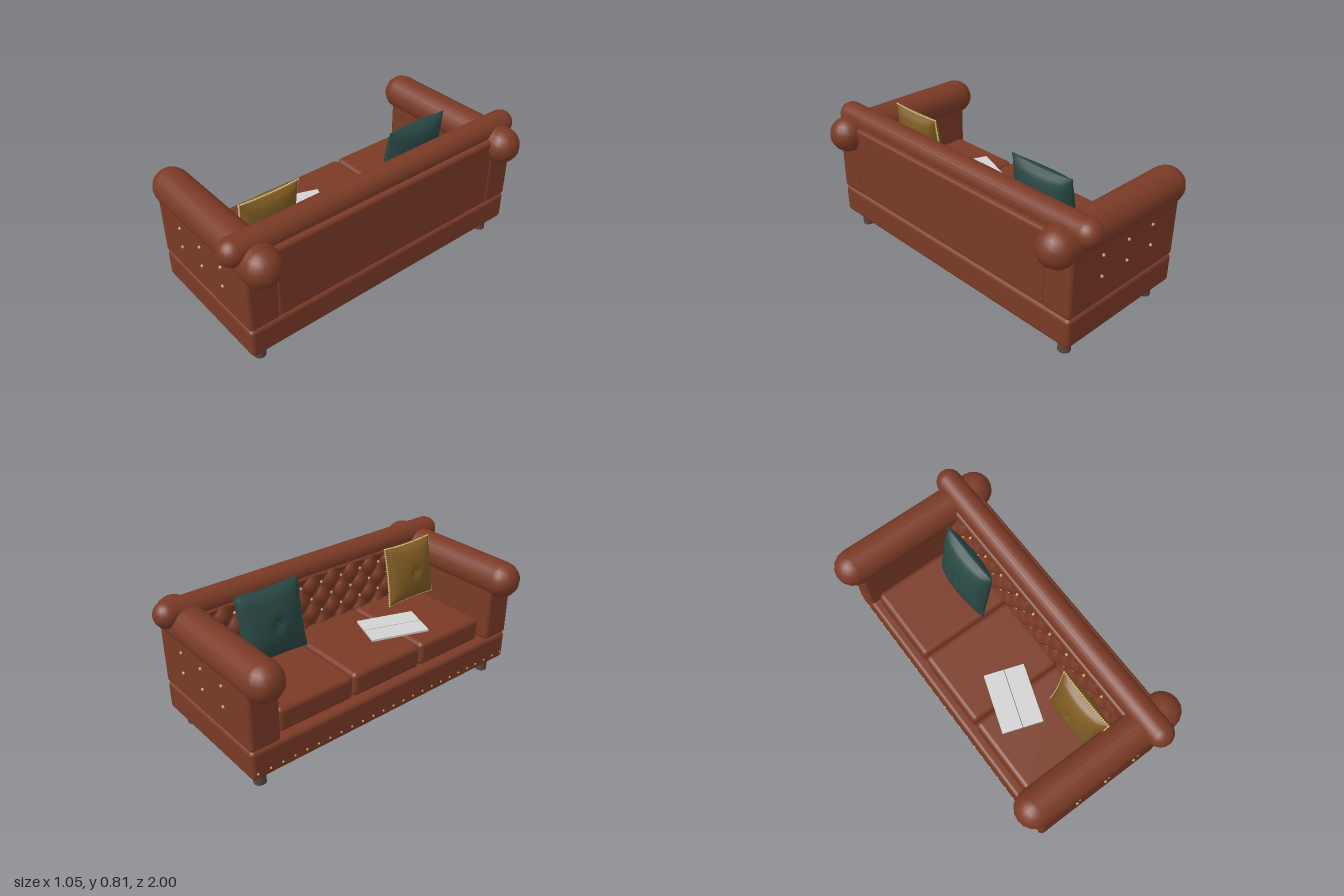
import * as THREE from 'three';
import { RoundedBoxGeometry } from 'three/addons/geometries/RoundedBoxGeometry.js';

const mat = (name, color, extra = {}) => {
  const m = new THREE.MeshStandardMaterial({ color, ...extra });
  m.name = name;
  return m;
};

export function createModel() {
  const leather = mat('chestnut leather', 0x7a3a26);
  const wood = mat('dark wood', 0x5c463a);
  const brass = mat('brass', 0xc2a566);
  const teal = mat('teal fabric', 0x284744);
  const mustard = mat('mustard fabric', 0x7d5a22);
  const trim = mat('cream trim', 0xcdb377);
  const paper = mat('paper', 0xd2d2d2);
  const ink = mat('fold grey', 0x666666);

  const sofa = new THREE.Group();
  sofa.name = 'sofa';
  const add = (name, geo, material, x = 0, y = 0, z = 0, parent = sofa) => {
    const mesh = new THREE.Mesh(geo, material);
    mesh.name = name;
    mesh.position.set(x, y, z);
    parent.add(mesh);
    return mesh;
  };
  // Rounded box given by its limits on each axis
  const padded = (name, [x0, x1], [y0, y1], [z0, z1], r, material = leather) =>
    add(name, new RoundedBoxGeometry(x1 - x0, y1 - y0, z1 - z0, 4, r), material,
      (x0 + x1) / 2, (y0 + y1) / 2, (z0 + z1) / 2);

  // Base, legs and nailheads along the seat front
  padded('base', [-0.42, 0.42], [0.095, 0.27], [-0.93, 0.93], 0.025);
  for (const x of [-0.333, 0.333]) for (const z of [-0.84, 0.84])
    add('leg', new THREE.CylinderGeometry(0.035, 0.035, 0.1, 16), wood, x, 0.05, z);
  const nail = new THREE.SphereGeometry(0.007, 8, 6);
  for (let i = 0; i < 25; i++) add('nailhead', nail, brass, -0.42, 0.137, -0.9 + i * 0.075);

  // Arms: panel, roll, ball ends and buttons
  const button = new THREE.SphereGeometry(0.009, 10, 8);
  for (const s of [-1, 1]) {
    const span = s < 0 ? [-0.93, -0.75] : [0.75, 0.93];
    padded('armPanel', [-0.42, 0.42], [0.27, 0.64], span, 0.022);
    add('armRoll', new THREE.CylinderGeometry(0.106, 0.106, 0.84, 24), leather, 0, 0.655, s * 0.835)
      .rotation.z = Math.PI / 2;
    for (const e of [-1, 1])
      add('armRollEnd', new THREE.SphereGeometry(0.105, 16, 12), leather, e * 0.42, 0.655, s * 0.835);
    for (const x of [-0.195, 0, 0.195]) for (const y of [0.43, 0.553])
      add('armButton', button, brass, x, y, s * 0.932);
  }

  // Backrest with top roll
  padded('backPanel', [0.225, 0.42], [0.275, 0.71], [-0.76, 0.76], 0.02);
  add('backRoll', new THREE.CylinderGeometry(0.075, 0.075, 1.85, 24), leather, 0.315, 0.725, 0)
    .rotation.x = Math.PI / 2;
  for (const s of [-1, 1])
    add('backRollEnd', new THREE.SphereGeometry(0.075, 20, 14), leather, 0.315, 0.725, s * 0.925);

  // Diamond tufting on the inside of the back
  const dz = 0.147, dy = 0.18, yRow = 0.48;
  const tuft = new THREE.PlaneGeometry(1.5, 0.34, 120, 30);
  const tp = tuft.attributes.position;
  for (let i = 0; i < tp.count; i++) {
    const a = tp.getX(i) / dz, b = (tp.getY(i) + 0.55 - yRow) / dy;
    const h = Math.abs(Math.sin(Math.PI * (a + b)) * Math.sin(Math.PI * (a - b)));
    tp.setZ(i, 0.036 * Math.pow(h, 0.6));
  }
  tuft.rotateY(-Math.PI / 2);
  tuft.computeVertexNormals();
  add('tuftedBack', tuft, leather, 0.222, 0.55, 0);
  for (let row = 0; row < 3; row++) {
    const odd = row % 2;
    for (let i = odd ? -5 : -4; i <= 4; i++)
      add('tuftButton', button, brass, 0.217, yRow + row * dy / 2, (i + odd * 0.5) * dz);
  }

  // Three seat cushions
  for (const i of [-1, 0, 1])
    padded('seatCushion', [-0.37, 0.224], [0.265, 0.41], [i * 0.488 - 0.242, i * 0.488 + 0.242], 0.03);

  // Square throw pillow: puffed box with pinched sides and a centre dimple
  const pillow = (name, size, thick, material, y, z) => {
    const g = new THREE.Group();
    g.name = name;
    g.position.set(0.08, y, z);
    g.rotation.z = -0.17;
    sofa.add(g);
    const geo = new THREE.BoxGeometry(2, 2, 2, 1, 20, 20);
    const p = geo.attributes.position;
    const pinch = (v) => 1 - 0.05 * (1 - v * v);
    for (let i = 0; i < p.count; i++) {
      const u = p.getY(i), v = p.getZ(i);
      const puff = Math.pow(Math.max(0, (1 - u * u) * (1 - v * v)), 0.5);
      const dimple = 0.25 * Math.exp(-(u * u + v * v) * 40);
      p.setXYZ(i, p.getX(i) * (0.005 + thick / 2 * puff * (1 - dimple)),
        u * size / 2 * pinch(v), v * size / 2 * pinch(u));
    }
    geo.computeVertexNormals();
    add(name + 'Body', geo, material, 0, 0, 0, g);
    for (const s of [-1, 1])
      add(name + 'Button', new THREE.SphereGeometry(0.012, 10, 8), material, s * thick * 0.38, 0, 0, g);
    return g;
  };
  pillow('tealPillow', 0.41, 0.155, teal, 0.612, -0.445);
  const gold = pillow('mustardPillow', 0.355, 0.135, mustard, 0.61, 0.57);

  // Beaded trim around the mustard pillow
  const bead = new THREE.SphereGeometry(0.0065, 8, 6);
  for (let i = 0; i < 26; i++) {
    const t = -1 + i * 2 / 26, e = 0.178 * (1 - 0.05 * (1 - t * t));
    for (const s of [-1, 1]) {
      add('trimBead', bead, trim, 0, s * e, s * t * 0.178, gold);
      add('trimBead', bead, trim, 0, -s * t * 0.178, s * e, gold);
    }
  }

  // Folded newspaper lying on the seat
  const news = new THREE.Group();
  news.name = 'newspaper';
  news.position.set(-0.115, 0.416, 0.263);
  news.rotation.y = -0.335;
  sofa.add(news);
  for (const s of [-1, 1])
    add('page', new THREE.BoxGeometry(0.117, 0.012, 0.352), paper, s * 0.0605, 0, 0, news);
  add('fold', new THREE.BoxGeometry(0.006, 0.009, 0.35), ink, 0, 0, 0, news);

  return sofa;
}
